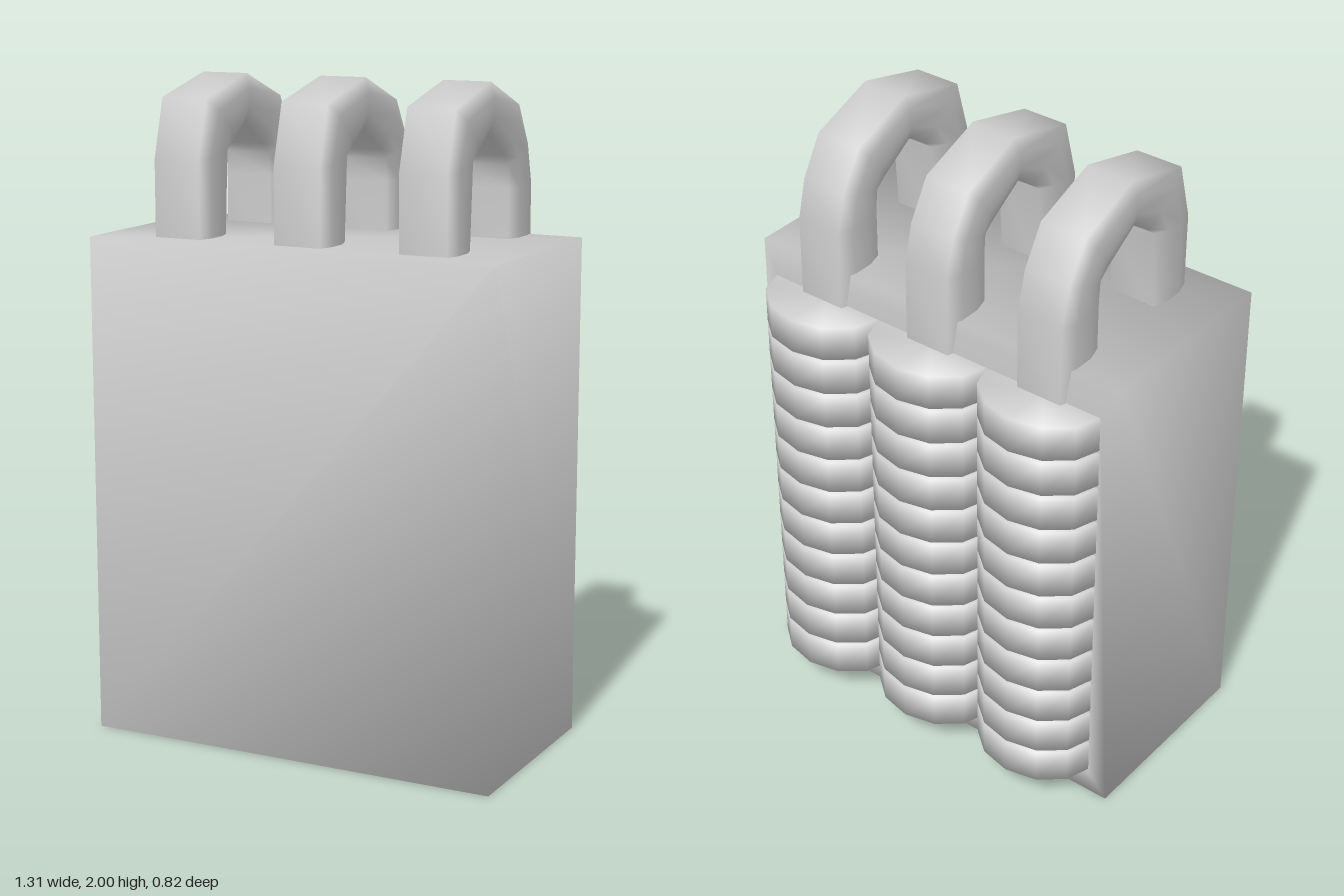
import * as THREE from 'three';
import { mergeVertices } from 'three/addons/utils/BufferGeometryUtils.js';

const material = new THREE.MeshStandardMaterial({ color: 0xcccccc });

function part(name, geometry, parent) {
  const mesh = new THREE.Mesh(geometry, material);
  mesh.name = name;
  parent.add(mesh);
  return mesh;
}

function smoothGeometry(positions, index) {
  const g = new THREE.BufferGeometry();
  g.setAttribute('position', new THREE.Float32BufferAttribute(positions, 3));
  g.setIndex(index);
  g.computeVertexNormals();
  return g;
}

// Block with a shallow raised panel on the back: three loops of four corners
function bodyGeometry() {
  const loop = (x, y0, y1, z) => [-x, y0, z, x, y0, z, x, y1, z, -x, y1, z];
  const positions = [
    ...loop(0.655, 0, 1.53, 0.41),
    ...loop(0.655, 0, 1.53, -0.235),
    ...loop(0.6, 0.09, 1.44, -0.25),
  ];
  const index = [];
  const quad = (a, b, c, d) => index.push(a, b, c, a, c, d);
  quad(0, 1, 2, 3);
  quad(9, 8, 11, 10);
  for (let k = 0; k < 4; k++) {
    const n = (k + 1) % 4;
    quad(n, k, 4 + k, 4 + n);
    quad(4 + n, 4 + k, 8 + k, 8 + n);
  }
  return smoothGeometry(positions, index);
}

// Arched loop: outer and inner edge points, swept with a chamfered section
function loopGeometry() {
  // outer z, outer y, inner z, inner y
  const path = [
    [0.33, 1.45, 0.18, 1.45], [0.33, 1.76, 0.16, 1.78], [0.28, 1.94, 0.12, 1.81],
    [0.04, 2.0, 0.055, 1.855], [-0.17, 1.92, -0.06, 1.78], [-0.24, 1.8, -0.095, 1.75],
    [-0.27, 1.68, -0.1, 1.68], [-0.27, 1.4, -0.1, 1.4],
  ];
  // x, fraction from inner to outer edge
  const section = [
    [-0.075, 1], [0.075, 1], [0.09, 0.7], [0.09, 0.3],
    [0.075, 0], [-0.075, 0], [-0.09, 0.3], [-0.09, 0.7],
  ];
  const n = section.length;
  const positions = [];
  const index = [];
  path.forEach(([oz, oy, iz, iy], i) => {
    section.forEach(([x, t], j) => {
      positions.push(x, iy + (oy - iy) * t, iz + (oz - iz) * t);
      if (i === path.length - 1) return;
      const a = i * n + j, b = i * n + (j + 1) % n;
      index.push(a, b, a + n, b, b + n, a + n);
    });
  });
  return smoothGeometry(positions, index);
}

// Half disc bulging toward the back, with soft shading over its rim
function ribGeometry() {
  const g = new THREE.CylinderGeometry(0.2, 0.2, 0.11, 6, 1, false, Math.PI / 2, Math.PI);
  g.scale(1, 1, 0.82);
  g.deleteAttribute('normal');
  g.deleteAttribute('uv');
  const merged = mergeVertices(g);
  merged.computeVertexNormals();
  return merged;
}

export function createModel() {
  const model = new THREE.Group();
  model.name = 'ribbedBlock';
  part('body', bodyGeometry(), model);

  const loop = loopGeometry();
  const rib = ribGeometry();
  for (const x of [-0.4, 0, 0.4]) {
    part('topLoop', loop, model).position.x = x;

    // Stack of ribs below each loop
    const column = new THREE.Group();
    column.name = 'ribColumn';
    column.position.set(x, 0, -0.245);
    for (let i = 0; i < 11; i++) part('rib', rib, column).position.y = 0.16 + i * 0.1215;
    model.add(column);
  }
  return model;
}
